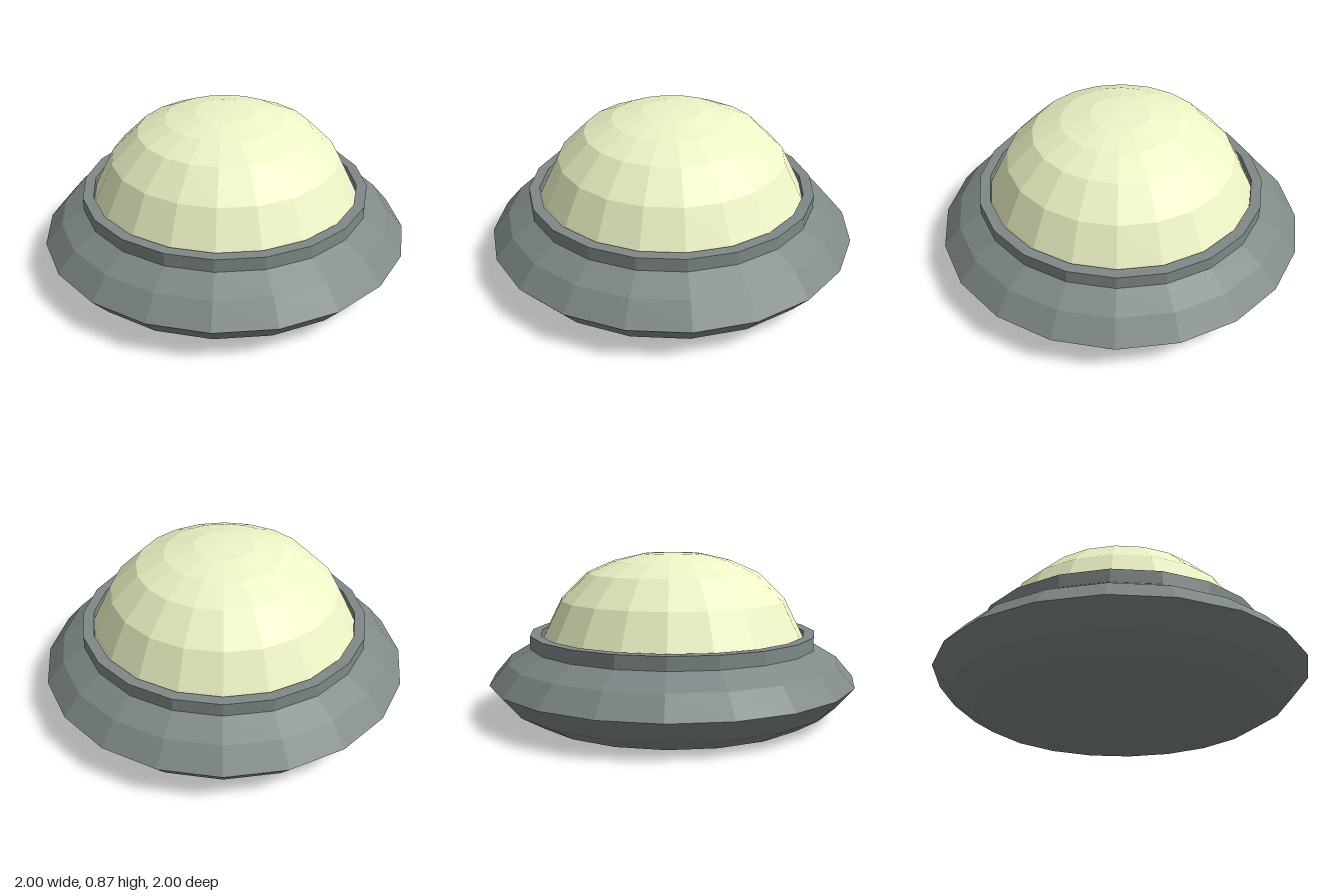
import * as THREE from 'three';

const SIDES = 20;

// Faceted solid of revolution from [radius, height] pairs, listed bottom to top
function turned(name, profile, color) {
  const points = profile.map(([r, y]) => new THREE.Vector2(r, y));
  const material = new THREE.MeshStandardMaterial({ color, flatShading: true });
  const mesh = new THREE.Mesh(new THREE.LatheGeometry(points, SIDES), material);
  mesh.name = name;
  return mesh;
}

export function createModel() {
  const group = new THREE.Group();
  group.name = 'domedSaucer';
  const grey = 0x7f8988;

  // Saucer-shaped body with a bevelled rim and flat underside
  group.add(turned('saucerBody', [
    [0, 0], [0.78, 0], [0.905, 0.075], [1, 0.187], [0.905, 0.297], [0.78, 0.37], [0, 0.37],
  ], grey));

  // Raised collar, open in the middle
  group.add(turned('collar', [
    [0.725, 0.37], [0.782, 0.37], [0.782, 0.44], [0.725, 0.44], [0.725, 0.37],
  ], grey));

  // Pale dome seated inside the collar
  group.add(turned('dome', [
    [0.738, 0.37], [0.705, 0.44], [0.615, 0.62], [0.47, 0.762], [0.32, 0.828], [0.16, 0.865], [0, 0.873],
  ], 0xeef4c6));

  return group;
}
